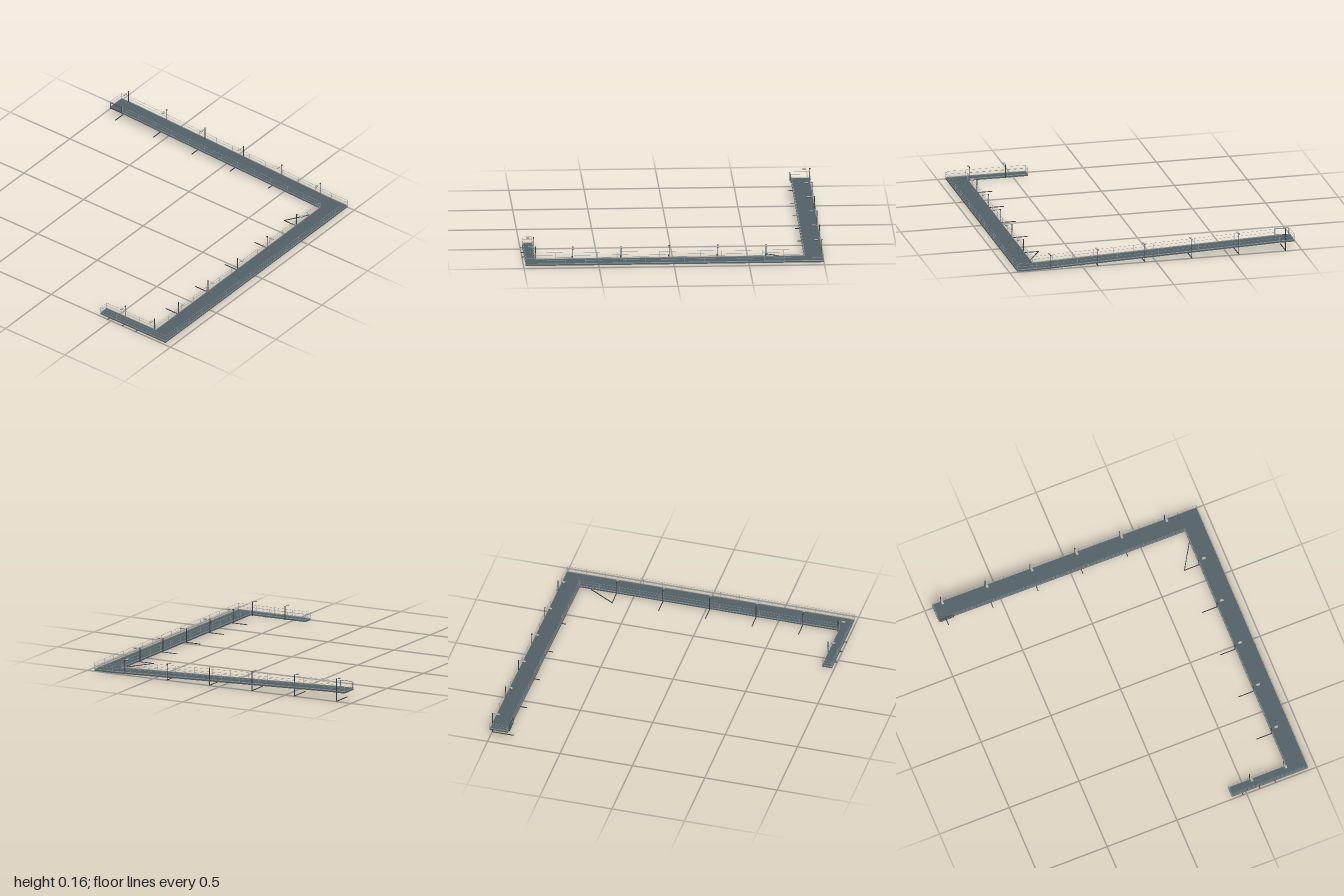
import * as THREE from 'three';

const mat = (name, color) => {
  const m = new THREE.MeshStandardMaterial({ color });
  m.name = name;
  return m;
};

export function createModel() {
  const deckMat = mat('deck slate', 0x515f64);
  const railMat = mat('rail grey', 0x90979a);
  const poleMat = mat('pole charcoal', 0x323739);
  const lampMat = mat('lamp panel', 0xb0b2ac);
  const root = new THREE.Group();
  root.name = 'walkway';

  const V = (x, y, z) => new THREE.Vector3(x, y, z);
  const group = (name) => {
    const g = new THREE.Group();
    g.name = name;
    root.add(g);
    return g;
  };
  const box = (parent, name, m, x0, x1, y0, y1, z0, z1) => {
    const mesh = new THREE.Mesh(new THREE.BoxGeometry(x1 - x0, y1 - y0, z1 - z0), m);
    mesh.position.set((x0 + x1) / 2, (y0 + y1) / 2, (z0 + z1) / 2);
    mesh.name = name;
    parent.add(mesh);
  };
  // Bar between two points, t wide and h high
  const bar = (parent, name, m, a, b, t, h = t) => {
    const mesh = new THREE.Mesh(new THREE.BoxGeometry(t, h, a.distanceTo(b)), m);
    mesh.position.copy(a).lerp(b, 0.5);
    mesh.lookAt(b);
    mesh.name = name;
    parent.add(mesh);
  };

  const FLOOR = 0.013, TOP = 0.071, THICK = 0.01;
  const XL = -0.985, XLI = -0.917, XRI = 0.873, XR = 0.999;
  const ZF = 0.947, ZI = 0.814, ZL = 0.4, ZLAND = -0.85, ZB = -0.95;
  // Floor height along the sloping wing
  const rampY = (z) => FLOOR + (TOP - FLOOR) * THREE.MathUtils.clamp((ZI - z) / (ZI - ZLAND), 0, 1);

  // Level decks
  const decks = group('decks');
  box(decks, 'frontDeck', deckMat, XL, XR, FLOOR - THICK, FLOOR, ZI, ZF);
  box(decks, 'shortWingDeck', deckMat, XL, XLI, FLOOR - THICK, FLOOR, ZL, ZI);

  // Sloping wing with a level landing, extruded across its width
  const side = new THREE.Shape([
    [-ZI, FLOOR - THICK], [-ZLAND, TOP - THICK], [-ZB, TOP - THICK],
    [-ZB, TOP], [-ZLAND, TOP], [-ZI, FLOOR],
  ].map(([u, v]) => new THREE.Vector2(u, v)));
  const ramp = new THREE.Mesh(
    new THREE.ExtrudeGeometry(side, { depth: XR - XRI, bevelEnabled: false }), deckMat);
  ramp.rotation.y = Math.PI / 2;
  ramp.position.x = XRI;
  ramp.name = 'rampDeck';
  decks.add(ramp);

  // Railings: a low kick plate, slim posts, a top rail and a middle rail along each run
  const rails = group('railings');
  const RAIL = 0.044, KICK = 0.005;
  const raised = (p, h) => V(p.x, p.y + h, p.z);
  const railing = (a, b) => {
    const n = Math.max(1, Math.round(a.distanceTo(b) / 0.136));
    for (let i = 0; i <= n; i++) {
      const p = a.clone().lerp(b, i / n);
      box(rails, 'railPost', railMat, p.x - 0.001, p.x + 0.001, p.y, p.y + RAIL, p.z - 0.001, p.z + 0.001);
    }
    for (const h of [RAIL * 0.55, RAIL]) {
      bar(rails, 'rail', railMat, raised(a, h), raised(b, h), 0.0012);
    }
    bar(rails, 'kickPlate', railMat, raised(a, KICK / 2), raised(b, KICK / 2), 0.0015, KICK);
  };
  const e = 0.001;
  railing(V(XL + e, FLOOR, ZF - e), V(XR - e, FLOOR, ZF - e));
  railing(V(XLI, FLOOR, ZI + e), V(XRI, FLOOR, ZI + e));
  railing(V(XL + e, FLOOR, ZF - e), V(XL + e, FLOOR, ZL + e));
  railing(V(XLI - e, FLOOR, ZI), V(XLI - e, FLOOR, ZL + e));
  railing(V(XL + e, FLOOR, ZL + e), V(XLI - e, FLOOR, ZL + e));
  railing(V(XR - e, FLOOR, ZF - e), V(XR - e, FLOOR, ZI));
  railing(V(XRI + e, FLOOR, ZI), V(XRI + e, TOP, ZLAND));
  railing(V(XR - e, FLOOR, ZI), V(XR - e, TOP, ZLAND));
  railing(V(XR - e, TOP, ZLAND), V(XR - e, TOP, ZB + e));
  railing(V(XRI + e, TOP, ZB + e), V(XR - e, TOP, ZB + e));

  // Gate frame beside the landing
  const gate = group('gate');
  const GX = 0.866, G0 = -0.94, G1 = -0.848;
  for (const z of [G0, G1]) {
    box(gate, 'gatePost', poleMat, GX - 0.0015, GX + 0.0015, TOP - 0.004, TOP + RAIL, z - 0.0015, z + 0.0015);
  }
  for (const h of [0, RAIL]) {
    bar(gate, 'gateBar', poleMat, V(GX, TOP + h, G0), V(GX, TOP + h, G1), 0.004, 0.002);
  }

  // Lamp posts, each with a flat head held over the deck in direction (dx, dz)
  const lamps = group('lampPosts');
  const lamp = (x, z, h, dx, dz) => {
    box(lamps, 'lampPole', poleMat, x - 0.002, x + 0.002, 0.002, h, z - 0.002, z + 0.002);
    const cap = new THREE.Mesh(new THREE.CylinderGeometry(0.004, 0.004, 0.008, 8), poleMat);
    cap.position.set(x, h - 0.004, z);
    cap.name = 'poleCap';
    lamps.add(cap);
    const y = h - 0.004;
    const cx = x + dx * 0.038, cz = z + dz * 0.036;
    bar(lamps, 'lampArm', railMat, V(x, y, z), V(cx, y, cz), 0.001);
    const lx = dx ? 0.012 : 0.007, lz = dx ? 0.007 : 0.012, s = 0.001;
    box(lamps, 'lampHousing', poleMat, cx - lx + s, cx + lx - s, y - 0.003, y, cz - lz + s, cz + lz - s);
    box(lamps, 'lampPanel', lampMat, cx - lx, cx + lx, y, y + 0.003, cz - lz, cz + lz);
  };
  const frontX = [-0.667, -0.345, -0.024, 0.299, 0.62];
  const rampZ = [-0.89, -0.57, -0.248, 0.074, 0.396, 0.718];
  frontX.forEach((x) => lamp(x, ZI - 0.003, 0.097, 0, 1));
  [0.555, 0.8].forEach((z) => lamp(XLI + 0.003, z, 0.097, -1, 0));
  rampZ.forEach((z) => lamp(XR - 0.002, z, rampY(z) + 0.085, -1, 0));

  // Ground beams below the decks
  const beams = group('groundBeams');
  const BY = 0.002, BT = 0.005, BH = 0.004;
  frontX.forEach((x) => bar(beams, 'frontBeam', poleMat, V(x, BY, ZI + 0.02), V(x, BY, 0.705), BT, BH));
  bar(beams, 'diagonalBrace', poleMat, V(0.62, BY, 0.708), V(0.795, BY, ZI), BT, BH);
  [0.475, 0.597, 0.708].forEach((z) =>
    bar(beams, 'shortWingBeam', poleMat, V(-1, BY, z), V(XLI - 0.005, BY, z), BT, BH));
  rampZ.slice(0, 5).forEach((z) =>
    bar(beams, 'rampBeam', poleMat, V(XR, BY, z), V(0.85, BY, z), BT, BH));

  return root;
}
